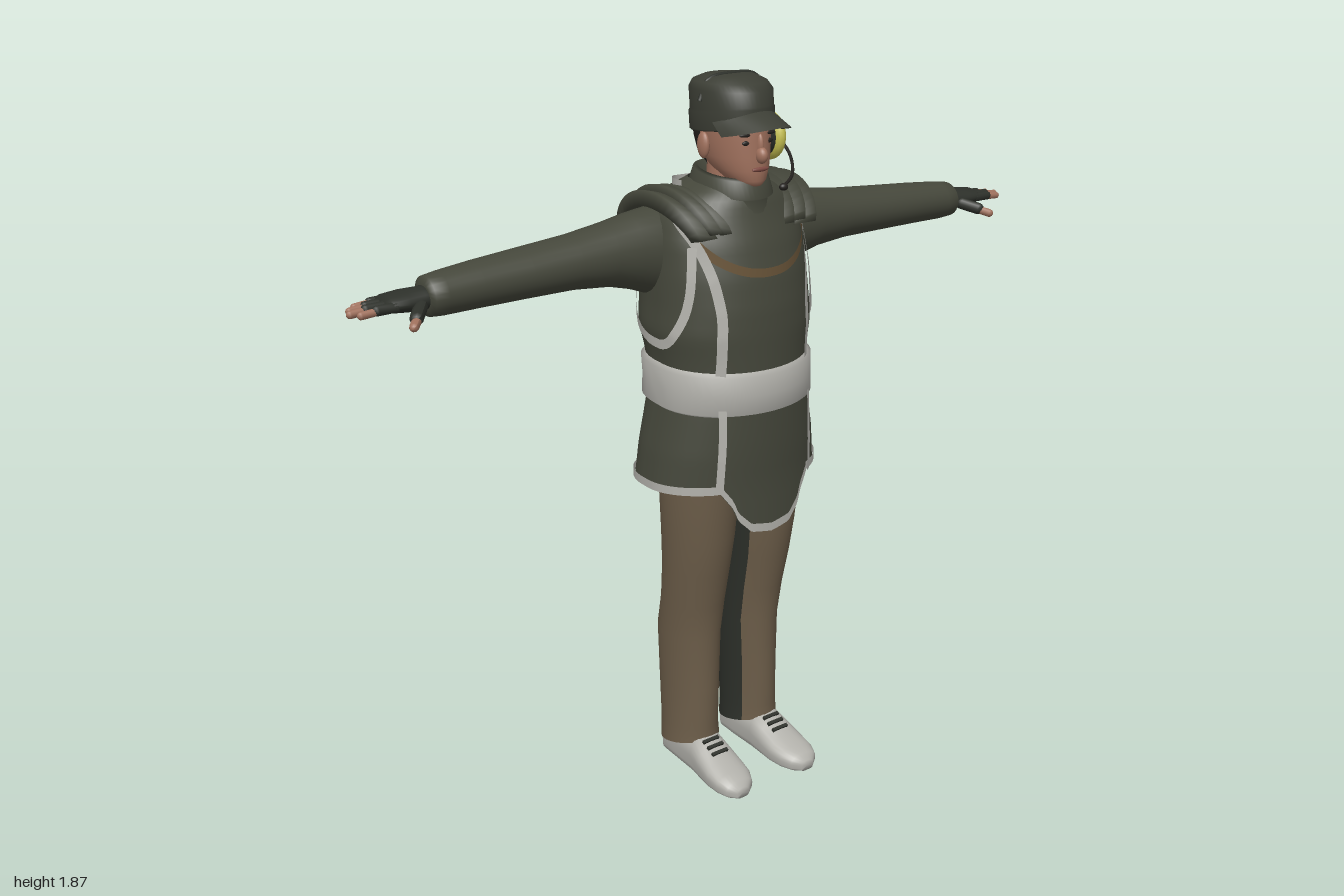
import * as THREE from 'three';

const paint = (name, color, side = THREE.FrontSide) => {
  const m = new THREE.MeshStandardMaterial({ color, side });
  m.name = name;
  return m;
};

// Joins rows of points into a smooth surface; rows may be closed rings with capped ends.
function skin(rows, closed = true, caps = false) {
  const n = rows[0].length, pos = rows.flat(2), idx = [];
  for (let i = 0; i < rows.length - 1; i++)
    for (let j = 0; j < (closed ? n : n - 1); j++) {
      const a = i * n + j, b = i * n + (j + 1) % n;
      idx.push(a, b, a + n, b, b + n, a + n);
    }
  if (caps) [0, rows.length - 1].forEach((r, end) => {
    const c = pos.length / 3;
    for (let k = 0; k < 3; k++) pos.push(rows[r].reduce((s, p) => s + p[k], 0) / n);
    for (let j = 0; j < n; j++) {
      const a = r * n + j, b = r * n + (j + 1) % n;
      end ? idx.push(c, a, b) : idx.push(c, b, a);
    }
  });
  const g = new THREE.BufferGeometry();
  g.setAttribute('position', new THREE.Float32BufferAttribute(pos, 3));
  g.setIndex(idx);
  g.computeVertexNormals();
  return g;
}

// Mirrors a geometry across x, keeping faces outward.
function mirror(geo) {
  const g = geo.clone().scale(-1, 1, 1), ix = g.index.array;
  for (let i = 0; i < ix.length; i += 3) [ix[i], ix[i + 1]] = [ix[i + 1], ix[i]];
  g.computeVertexNormals();
  return g;
}

const range = (n, f) => Array.from({ length: n }, (_, i) => f(i));
const lerp = THREE.MathUtils.lerp;

// Point on a body ring; angle 0 is the front, growing toward +x; backs are squarer.
function ringPoint([y, rx, zf, zb], a, off = 0, backPow = 0.7) {
  const s = Math.sin(a), c = Math.cos(a), p = c < 0 ? backPow : 1;
  const zc = (zf + zb) / 2, d = (zf - zb) / 2 + off;
  return [(rx + off) * Math.sign(s) * Math.abs(s) ** p, y, zc + d * Math.sign(c) * Math.abs(c) ** p];
}
const ring = (key, off = 0, pow = 0.7, n = 48) =>
  range(n, j => ringPoint(key, j / n * Math.PI * 2, off, pow));

// Jacket profile: height, half width, front z, back z
const TORSO = [[0.855, 0.247, 0.155, -0.18], [0.95, 0.235, 0.162, -0.176], [1.06, 0.212, 0.166, -0.17],
  [1.12, 0.2, 0.165, -0.168], [1.2, 0.21, 0.166, -0.178], [1.26, 0.222, 0.167, -0.187], [1.32, 0.216, 0.165, -0.192],
  [1.4, 0.212, 0.155, -0.193], [1.48, 0.205, 0.135, -0.19], [1.54, 0.188, 0.112, -0.183],
  [1.58, 0.15, 0.1, -0.16], [1.615, 0.085, 0.08, -0.11]];
function torsoAt(y) {
  let i = 0;
  while (i < TORSO.length - 2 && y > TORSO[i + 1][0]) i++;
  const A = TORSO[i], B = TORSO[i + 1], t = (y - A[0]) / (B[0] - A[0]);
  return A.map((v, k) => lerp(v, B[k], t));
}
const onTorso = (a, y, off) => ringPoint(torsoAt(y), a, off);
const front = (x, y) => [Math.asin(x / torsoAt(y)[1]), y];

// Flat band lying on the jacket along [angle, height] points
function band(points, width, off = 0.006, n = 40) {
  const curve = new THREE.CatmullRomCurve3(points.map(([a, y]) => new THREE.Vector3(a, y, 0)));
  const at = (t, o) => { const p = curve.getPoint(t); return new THREE.Vector3(...onTorso(p.x, p.y, o)); };
  return skin(range(n + 1, i => {
    const t = i / n, P = at(t, off), N = at(t, off + 0.01).sub(P);
    const T = at(Math.min(1, t + 0.01), off).sub(at(Math.max(0, t - 0.01), off));
    const S = T.cross(N).normalize().multiplyScalar(width / 2);
    return [P.clone().sub(S).toArray(), P.clone().add(S).toArray()];
  }), false);
}

const tube = (pts, r) =>
  new THREE.TubeGeometry(new THREE.CatmullRomCurve3(pts.map(p => new THREE.Vector3(...p))), 24, r, 8);

// Rounded rod between two points
function rod(a, b, r) {
  const A = new THREE.Vector3(...a), D = new THREE.Vector3(...b).sub(A), L = D.length();
  const g = new THREE.CapsuleGeometry(r, Math.max(0.001, L - 2 * r), 4, 10);
  g.applyQuaternion(new THREE.Quaternion().setFromUnitVectors(new THREE.Vector3(0, 1, 0), D.clone().normalize()));
  return g.translate(...A.addScaledVector(D, 0.5).toArray());
}
const ball = (x, y, z, sx, sy, sz) => new THREE.SphereGeometry(1, 20, 14).scale(sx, sy, sz).translate(x, y, z);

export function createModel() {
  const model = new THREE.Group();
  model.name = 'standingWorker';
  const D = THREE.DoubleSide;
  const jacket = paint('jacketGreen', 0x45473b, D), cap = paint('capGreen', 0x3c3e35, D);
  const dark = paint('darkGreen', 0x2d302a, D), brown = paint('trouserBrown', 0x6c5d49, D);
  const grey = paint('lightGrey', 0xb2b1ab, D), flesh = paint('skin', 0xa0715d);
  const yellow = paint('earCupYellow', 0xc9c352), tan = paint('necklineTan', 0x6b563a, D);
  const hair = paint('hairBlack', 0x25221f, D), lip = paint('lipRed', 0x7d4a42);
  const add = (name, geo, mat) => {
    const m = new THREE.Mesh(geo, mat);
    m.name = name;
    model.add(m);
  };
  const pair = (name, geo, mat) => { add(name + 'Left', geo, mat); add(name + 'Right', mirror(geo), mat); };

  // Jacket, belt and collar
  add('jacket', skin(range(45, i => ring(torsoAt(lerp(0.855, 1.615, i / 44))))), jacket);
  add('belt', skin([[1.062, -0.004], [1.072, 0.011], [1.12, 0.016], [1.168, 0.012], [1.18, -0.004]].map(([y, o]) =>
    ring(torsoAt(y), o).map(([x, py, z]) => [x, py - 0.05 * z, z]))), grey);
  add('collar', skin([[1.56, 0.11, 0.11, -0.13], [1.59, 0.092, 0.105, -0.11], [1.595, 0.096, 0.112, -0.112],
    [1.635, 0.084, 0.1, -0.1], [1.64, 0.076, 0.092, -0.09], [1.6, 0.07, 0.08, -0.08]].map(k =>
    ring(k, 0, 0.9).map(([x, y, z]) => [x, y - 0.12 * z, z]))), jacket);

  // Front flap hanging below the hem, with its border
  const flapEdge = [[0, 0.735], [0.06, 0.745], [0.095, 0.78], [0.108, 0.815], [0.14, 0.86]];
  const flapBottom = x => {
    const u = Math.abs(x), i = Math.max(1, flapEdge.findIndex(p => p[0] >= u - 1e-6));
    const [x0, y0] = flapEdge[i - 1], [x1, y1] = flapEdge[i];
    return lerp(y0, y1, (u - x0) / (x1 - x0));
  };
  const flap = (top, off) => skin(range(9, i => range(41, j => {
    const x = lerp(-0.139, 0.139, j / 40), b = flapBottom(x), y = lerp(b, top(b), i / 8);
    const k = torsoAt(Math.max(y, 0.87));
    return [x, y, ringPoint(k, Math.asin(x / k[1]), off)[2]];
  })), false);
  add('frontFlap', flap(() => 1.07, 0.008), jacket);
  add('flapBorder', flap(b => b + 0.022, 0.013), grey);

  // Trim bands
  pair('chestTrim', band([[0.175, 1.54], [0.155, 1.47], [0.135, 1.38], [0.128, 1.28], [0.13, 1.16]].map(p => front(...p)), 0.026), grey);
  pair('skirtTrim', band([[0.127, 1.08], [0.13, 0.98], [0.136, 0.86]].map(p => front(...p)), 0.02, 0.014), grey);
  pair('armholeTrim', band([[0.95, 1.48], [1.02, 1.36], [1.25, 1.26], [1.65, 1.237], [2.2, 1.33], [2.6, 1.42], [2.75, 1.54]], 0.024), grey);
  add('hemTrim', band([0.6, 1.2, 2, 2.7, 3.14, 3.58, 4.28, 5.08, 5.68].map(a => [a, 0.866]), 0.022, 0.005, 90), grey);
  add('napeTrim', band([[1.7, 1.602], [2.4, 1.598], [3.14, 1.59], [3.88, 1.598], [4.58, 1.602]], 0.026), grey);
  add('necklineTrim', band([[-0.165, 1.5], [-0.125, 1.45], [-0.065, 1.42], [0, 1.412], [0.065, 1.42], [0.125, 1.45], [0.165, 1.5]]
    .map(p => front(...p)), 0.022, 0.005), tan);

  // Layered shoulder plates arching from front to back
  [[0.115, 1.588], [0.15, 1.592], [0.185, 1.582]].forEach(([x0, top], k) => {
    const rows = range(19, i => {
      const t = lerp(-1.35, 1.35, i / 18), c = 1 - Math.cos(t);
      const x = x0 - (t > 0 ? 0.045 : 0.015) * c, y = top - 0.105 * c, z = -0.047 + 0.148 * Math.sin(t);
      const oz = 0.018 * Math.sin(t), oy = 0.02 * Math.cos(t);
      return [[x - 0.03, y - oy * 0.6, z - oz * 0.6], [x - 0.03, y + oy * 0.3, z + oz * 0.3],
        [x + 0.026, y + oy, z + oz], [x + 0.032, y - oy * 0.9, z - oz * 0.9]];
    });
    pair('shoulderPlate' + (k + 1), skin(rows, true, true), jacket);
  });

  // Sleeves and gloved hands
  const along = (keys, n = 24) => skin(keys.map(([x, cy, cz, ry, rz]) => range(n, j => {
    const t = j / n * Math.PI * 2;
    return [x, cy + ry * Math.cos(t), cz + rz * Math.sin(t)];
  })), true, true);
  pair('sleeve', along([[0.1, 1.44, -0.08, 0.11, 0.085], [0.19, 1.445, -0.085, 0.11, 0.086], [0.25, 1.452, -0.087, 0.094, 0.082],
    [0.32, 1.455, -0.086, 0.078, 0.077], [0.42, 1.453, -0.085, 0.066, 0.072], [0.55, 1.448, -0.085, 0.06, 0.07],
    [0.68, 1.444, -0.08, 0.055, 0.062], [0.77, 1.441, -0.073, 0.051, 0.055], [0.805, 1.44, -0.071, 0.047, 0.052], [0.812, 1.44, -0.071, 0.03, 0.034]]), jacket);
  pair('glove', along([[0.78, 1.44, -0.072, 0.03, 0.036], [0.82, 1.438, -0.072, 0.027, 0.036], [0.86, 1.438, -0.076, 0.025, 0.045],
    [0.9, 1.438, -0.077, 0.02, 0.046], [0.912, 1.437, -0.077, 0.013, 0.04]]), dark);
  [[-0.112, 0.968], [-0.09, 0.99], [-0.066, 1], [-0.043, 0.985]].forEach(([z, tip], i) => {
    pair('gloveFinger' + (i + 1), rod([0.88, 1.437, z], [tip - 0.035, 1.436, z], 0.0125), dark);
    pair('fingertip' + (i + 1), rod([0.9, 1.437, z], [tip, 1.431, z], 0.0095), flesh);
  });
  pair('gloveThumb', rod([0.825, 1.433, -0.05], [0.875, 1.412, 0.01], 0.016), dark);
  pair('thumbTip', rod([0.85, 1.42, -0.015], [0.892, 1.402, 0.03], 0.011), flesh);

  // Trousers: brown outside with a dark inner panel
  const LEG = [[0.075, 0.1, -0.055, 0.073, 0.09], [0.13, 0.1, -0.057, 0.069, 0.091], [0.25, 0.098, -0.06, 0.069, 0.099],
    [0.4, 0.097, -0.06, 0.075, 0.1], [0.5, 0.098, -0.04, 0.079, 0.094], [0.6, 0.1, -0.022, 0.084, 0.098],
    [0.7, 0.1, -0.012, 0.09, 0.107], [0.85, 0.1, -0.005, 0.098, 0.117], [0.95, 0.095, -0.005, 0.095, 0.125]];
  const leg = (a0, a1, n) => skin(LEG.map(([y, cx, cz, rx, rz]) => range(n + 1, j => {
    const a = lerp(a0, a1, j / n);
    return [cx + rx * Math.sin(a), y + (y < 0.1 ? 0.02 * Math.cos(a) : 0), cz + rz * Math.cos(a)];
  })), false);
  const inner = -Math.PI / 2;
  pair('trouserLeg', leg(inner + 0.6, inner + Math.PI * 2 - 0.6, 30), brown);
  pair('innerLegPanel', leg(inner - 0.6, inner + 0.6, 10), dark);

  // Shoes with laces
  const SHOE = [[-0.143, 0.1, 0.03, 0.07], [-0.125, 0.1, 0.044, 0.09], [-0.06, 0.1, 0.05, 0.11], [0.02, 0.102, 0.053, 0.112],
    [0.06, 0.104, 0.057, 0.092], [0.11, 0.106, 0.06, 0.068], [0.15, 0.108, 0.056, 0.056], [0.18, 0.11, 0.043, 0.044], [0.197, 0.111, 0.02, 0.03]];
  pair('shoe', skin(SHOE.map(([z, cx, rx, h]) => range(24, j => {
    const t = j / 24 * Math.PI * 2, c = Math.cos(t), s = Math.sin(t);
    const p = c < 0 ? 0.5 : 0.9;
    return [cx - rx * Math.sign(s) * Math.abs(s) ** p, h / 2 * (1 + Math.sign(c) * Math.abs(c) ** p), z];
  })), true, true), grey);
  [[0.045, 0.1], [0.065, 0.091], [0.085, 0.081]].forEach(([z, y], i) =>
    pair('lace' + (i + 1), new THREE.BoxGeometry(0.05, 0.008, 0.009).rotateX(0.45).translate(0.104, y, z), dark));

  // Head and face
  const HEAD = [[1.612, 0.028, 0.105, 0.035], [1.625, 0.045, 0.113, 0], [1.65, 0.062, 0.115, -0.045], [1.68, 0.073, 0.115, -0.08],
    [1.72, 0.079, 0.114, -0.093], [1.76, 0.081, 0.113, -0.096], [1.8, 0.08, 0.105, -0.095]];
  add('neck', new THREE.CylinderGeometry(0.055, 0.062, 0.13, 20).translate(0, 1.615, -0.005), flesh);
  add('head', skin(HEAD.map(k => ring(k, 0, 0.9, 32)), true, true), flesh);
  add('nose', ball(0, 1.688, 0.118, 0.014, 0.02, 0.018), flesh);
  add('noseBridge', ball(0, 1.71, 0.11, 0.009, 0.03, 0.013), flesh);
  add('mouth', ball(0, 1.654, 0.113, 0.025, 0.006, 0.006), lip);
  pair('eye', ball(0.032, 1.718, 0.102, 0.014, 0.006, 0.005), hair);
  pair('eyebrow', ball(0.034, 1.737, 0.102, 0.02, 0.005, 0.006), hair);
  pair('ear', ball(0.084, 1.705, 0, 0.012, 0.032, 0.02), flesh);
  add('hair', skin([1, 2, 3, 4, 5].map(i => HEAD[i]).map((k, i) => range(25, j =>
    ringPoint(k, lerp(i < 2 ? 2.3 : 1.75, Math.PI * 2 - (i < 2 ? 2.3 : 1.75), j / 24), 0.006, 0.9))).slice(1), false), hair);

  // Cap with curved peak
  add('cap', skin([[1.738, 0.088, 0.115, -0.104], [1.742, 0.093, 0.118, -0.108], [1.785, 0.094, 0.119, -0.111],
    [1.79, 0.091, 0.116, -0.108], [1.835, 0.093, 0.111, -0.11], [1.852, 0.084, 0.093, -0.1], [1.864, 0.06, 0.062, -0.07],
    [1.867, 0.03, 0.03, -0.035]].map(k => ring(k, 0, 0.9).map(([x, y, z]) => [x, y + (y < 1.8 ? 0.1 * z : 0), z])), true, true), cap);
  add('capPeak', skin(range(7, i => range(21, j => {
    const u = lerp(-1, 1, j / 20), v = i / 6;
    return [0.09 * u, 1.795 - 0.03 * v - 0.03 * u * u, 0.11 * Math.sqrt(1 - 0.85 * u * u) + v * 0.09 * (1 - 0.6 * u * u)];
  })), false), cap);

  // Headset on the left ear with headband and microphone
  add('earCushion', new THREE.CylinderGeometry(0.05, 0.05, 0.03, 24).rotateZ(Math.PI / 2).translate(0.09, 1.71, 0.01), dark);
  add('earCup', ball(0.106, 1.71, 0.01, 0.028, 0.061, 0.061), yellow);
  add('earCupCentre', new THREE.CylinderGeometry(0.02, 0.026, 0.012, 20).rotateZ(-Math.PI / 2).translate(0.132, 1.705, 0.006), hair);
  add('headband', tube([[0.112, 1.76, 0.01], [0.102, 1.82, 0.005], [0.07, 1.858, 0], [0, 1.866, 0], [-0.07, 1.856, 0], [-0.094, 1.81, 0]], 0.006), dark);
  add('microphoneBoom', tube([[0.134, 1.705, 0.01], [0.125, 1.67, 0.07], [0.085, 1.635, 0.13], [0.03, 1.617, 0.165]], 0.004), hair);
  add('microphone', ball(0.03, 1.617, 0.165, 0.012, 0.009, 0.009), hair);
  return model;
}
